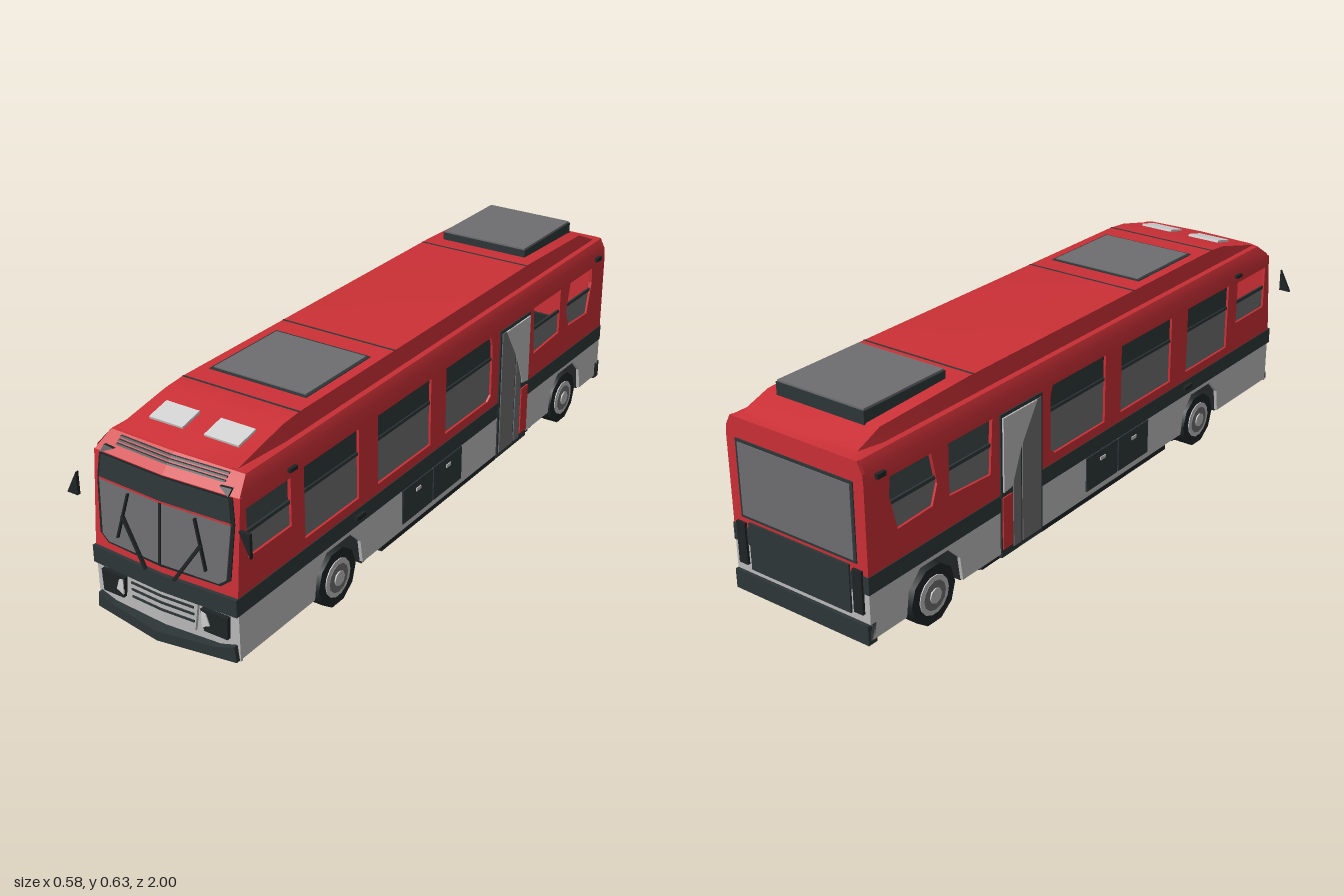
import * as THREE from 'three';
import { toCreasedNormals } from 'three/addons/utils/BufferGeometryUtils.js';

const material = (name, color) => new THREE.MeshStandardMaterial({ name, color, side: THREE.DoubleSide });

export function createModel() {
  const bus = new THREE.Group();
  bus.name = 'bus';
  const red = material('red paint', 0xcb3036);
  const silver = material('light grey paint', 0xbcbcbc);
  const dark = material('dark trim', 0x2e3638);
  const black = material('black rubber and chassis', 0x1f2424);
  const glass = material('grey glass', 0x6e6e70);
  const lens = material('lamp lens', 0xd2d2d2);

  const add = (name, geometry, mat) => {
    const mesh = new THREE.Mesh(geometry, mat);
    mesh.name = name;
    bus.add(mesh);
    return mesh;
  };
  // Box given by its minimum and maximum corners
  const box = (name, a, b, mat) => add(name, new THREE.BoxGeometry(b[0] - a[0], b[1] - a[1], b[2] - a[2])
    .translate((a[0] + b[0]) / 2, (a[1] + b[1]) / 2, (a[2] + b[2]) / 2), mat);
  const toShape = (pts, holes = []) => {
    const shape = new THREE.Shape(pts.map(p => new THREE.Vector2(...p)));
    holes.forEach(h => shape.holes.push(new THREE.Path(h.map(p => new THREE.Vector2(...p)))));
    return shape;
  };
  const extrude = (pts, depth, holes) =>
    new THREE.ExtrudeGeometry(toShape(pts, holes), { depth, bevelEnabled: false });
  const rect = (x0, x1, y0, y1) => [[x0, y0], [x1, y0], [x1, y1], [x0, y1]];

  // Plate on both flanks, outlined in (z, y), outer face at x = +-out
  const sidePlate = (name, pts, out, depth, mat, holes) => {
    for (const x of [out, depth - out])
      add(name, extrude(pts, depth, holes).rotateY(-Math.PI / 2).translate(x, 0, 0), mat);
  };

  // Front face: depth by height, with a shallow V towards the centre
  const nose = [[0.07, 0.95], [0.255, 0.95], [0.52, 0.925], [0.562, 0.875]];
  const frontZ = (x, y, vee = 0.012) => {
    let z = y <= nose[0][0] ? nose[0][1] : nose[3][1];
    for (let i = 0; i < 3; i++) {
      const [a, za] = nose[i], [b, zb] = nose[i + 1];
      if (y > a && y <= b) z = za + (zb - za) * (y - a) / (b - a);
    }
    return z + vee * (1 - Math.abs(x) / 0.23);
  };
  // Mirrored pair of plates that follow the nose, outlined in (x, y) for x >= 0
  const frontPlate = (name, pts, off, mat, depth = 0.008, vee = 0.012) => {
    for (const s of [1, -1]) {
      const g = extrude(pts.map(([x, y]) => [s * x, y]), depth);
      const p = g.attributes.position;
      for (let i = 0; i < p.count; i++)
        p.setZ(i, p.getZ(i) - depth + off + frontZ(p.getX(i), p.getY(i), vee));
      g.computeVertexNormals();
      add(name, g, mat);
    }
  };
  const frontBar = (name, [x0, y0], [x1, y1], w, mat) => {
    const l = Math.hypot(x1 - x0, y1 - y0), dx = -(y1 - y0) / l * w / 2, dy = (x1 - x0) / l * w / 2;
    frontPlate(name, [[x0 - dx, y0 - dy], [x1 - dx, y1 - dy], [x1 + dx, y1 + dy], [x0 + dx, y0 + dy]], 0.014, mat);
  };

  // Flanks: red upper wall with window openings, band, and skirt with wheel arches
  const windows = [
    rect(0.73, 0.905, 0.35, 0.485), rect(0.435, 0.675, 0.285, 0.49), rect(0.08, 0.345, 0.285, 0.49),
    [[-0.26, 0.3], [-0.24, 0.285], [0, 0.285], [0, 0.49], [-0.25, 0.49], [-0.26, 0.46]],
    [[-0.685, 0.345], [-0.52, 0.335], [-0.51, 0.49], [-0.685, 0.49]],
    [[-0.88, 0.34], [-0.75, 0.345], [-0.73, 0.4], [-0.75, 0.49], [-0.9, 0.49], [-0.905, 0.44]],
  ];
  sidePlate('upperSideWall', [[-0.99, 0.255], [0.95, 0.255], [0.927, 0.5], [-0.99, 0.5]], 0.228, 0.01, red, windows);
  sidePlate('sideBand', rect(-0.99, 0.95, 0.208, 0.257), 0.23, 0.012, dark);
  const arch = z => [[z - 0.11, 0.08], [z - 0.1, 0.15], [z - 0.055, 0.195], [z + 0.055, 0.195], [z + 0.1, 0.15], [z + 0.11, 0.08]];
  const axles = [-0.75, 0.53];
  sidePlate('skirt', [[-0.99, 0.08], ...arch(axles[0]), ...arch(axles[1]), [0.95, 0.08], [0.95, 0.21], [-0.99, 0.21]], 0.228, 0.01, silver);

  // Side glass: lower panes everywhere, tinted upper panes on the large windows
  windows.forEach((w, i) => {
    const zs = w.map(p => p[0]), y0 = Math.min(...w.map(p => p[1]));
    const z0 = Math.min(...zs), z1 = Math.max(...zs);
    sidePlate('sideWindowPane', rect(z0, z1, y0, 0.415), 0.221, 0.004, glass);
    if (i > 0 && i < 4) sidePlate('tintedUpperPane', rect(z0, z1, 0.42, 0.49), 0.221, 0.004, dark);
    sidePlate('windowRail', rect(z0, z1, 0.412, 0.422), 0.225, 0.006, dark);
  });

  // Doors on both flanks
  sidePlate('doorFrame', rect(-0.482, -0.302, 0.07, 0.49), 0.232, 0.01, dark);
  sidePlate('doorGlass', rect(-0.392, -0.31, 0.085, 0.48), 0.235, 0.006, glass);
  sidePlate('doorRearLeaf', rect(-0.432, -0.4, 0.085, 0.4), 0.235, 0.006, glass);
  sidePlate('doorUpperPanel', [[-0.475, 0.265], [-0.44, 0.27], [-0.4, 0.37], [-0.33, 0.48], [-0.475, 0.48]], 0.237, 0.006, silver);
  sidePlate('doorLowerPanel', rect(-0.478, -0.438, 0.095, 0.25), 0.236, 0.006, red);

  // Luggage lockers, sills and side markers
  for (const [a, b] of [[-0.09, 0.064], [0.07, 0.225]]) {
    sidePlate('luggageLocker', rect(a, b, 0.1, 0.206), 0.232, 0.008, dark);
    sidePlate('lockerHandle', rect((a + b) / 2 - 0.012, (a + b) / 2 + 0.012, 0.175, 0.185), 0.235, 0.004, silver);
  }
  sidePlate('sill', rect(-0.3, 0.33, 0.066, 0.08), 0.229, 0.02, black);
  sidePlate('sideMarker', rect(0.71, 0.74, 0.505, 0.515), 0.237, 0.02, black);
  sidePlate('sideMarker', rect(0.42, 0.46, 0.23, 0.242), 0.24, 0.02, black);
  sidePlate('rearMarker', rect(-0.95, -0.92, 0.505, 0.518), 0.237, 0.02, black);

  // Roof: one loft from front to back
  const stations = [[1, 0.565], [0.7, 0.605], [0.63, 0.611], [-0.55, 0.611], [-0.88, 0.6], [-0.96, 0.567], [-0.99, 0.563]];
  const section = h => {
    const half = [[0.228, 0.5], [0.226, 0.53], [0.21, 0.56], [0.196, 0.563], [0.185, h]];
    return [...half, [0, h], ...half.map(([x, y]) => [-x, y]).reverse()];
  };
  const pos = [], idx = [], n = 11;
  stations.forEach(([z, h], i) => section(h).forEach(([x, y], j) => {
    pos.push(x, y, Math.min(z, frontZ(x, y)));
    if (i < stations.length - 1 && j < n - 1) {
      const a = i * n + j;
      idx.push(a, a + n, a + 1, a + 1, a + n, a + n + 1);
    }
  }));
  const roof = new THREE.BufferGeometry();
  roof.setAttribute('position', new THREE.Float32BufferAttribute(pos, 3));
  roof.setIndex(idx);
  roof.computeVertexNormals();
  add('roof', toCreasedNormals(roof, 0.5), red);
  for (const z of [0.63, 0.2, -0.53]) box('roofSeam', [-0.185, 0.605, z - 0.003], [0.185, 0.612, z + 0.003], dark);
  box('frontHatchFrame', [-0.155, 0.6, 0.27], [0.155, 0.613, 0.56], dark);
  box('frontHatchGlass', [-0.147, 0.606, 0.28], [0.147, 0.616, 0.55], glass);
  box('rearRoofUnit', [-0.145, 0.58, -0.89], [0.145, 0.632, -0.59], dark);
  box('rearRoofUnitLid', [-0.142, 0.628, -0.887], [0.142, 0.637, -0.593], glass);
  for (const x of [-0.087, 0.087]) {
    const lamp = add('roofLamp', new THREE.BoxGeometry(0.107, 0.008, 0.07), lens);
    lamp.position.set(x, 0.59, 0.78);
    lamp.rotation.x = 0.23;
  }

  // Front face
  frontPlate('frontLowerPanel', rect(0, 0.228, 0.075, 0.21), 0, silver);
  frontPlate('frontBand', rect(0, 0.23, 0.208, 0.257), 0.01, dark, 0.018);
  frontPlate('frontFrame', rect(0, 0.228, 0.255, 0.52), 0, red);
  frontPlate('frontBrow', [[0, 0.52], [0.226, 0.52], [0.21, 0.56], [0, 0.562]], 0, red);
  frontPlate('windshieldSurround', [[0, 0.275], [0.18, 0.278], [0.208, 0.3], [0.216, 0.45], [0.208, 0.518], [0, 0.518]], 0.003, black, 0.006);
  frontPlate('windshield', [[0, 0.284], [0.175, 0.284], [0.197, 0.3], [0.207, 0.45], [0, 0.45]], 0.006, glass, 0.006);
  frontPlate('windshieldTint', [[0, 0.452], [0.207, 0.452], [0.2, 0.514], [0, 0.514]], 0.006, dark, 0.006);
  frontPlate('tintEdge', rect(0, 0.207, 0.449, 0.453), 0.008, red, 0.004);
  frontPlate('windshieldDivider', rect(0, 0.003, 0.284, 0.45), 0.01, black);
  frontBar('wiperArm', [0.045, 0.255], [0.125, 0.375], 0.008, black);
  frontBar('wiperBlade', [0.105, 0.44], [0.14, 0.31], 0.005, black);
  for (const y of [0.541, 0.548, 0.555]) frontPlate('browVent', rect(0, 0.17, y - 0.0015, y + 0.0015), 0.005, dark);
  frontPlate('cornerMarker', [[0.165, 0.535], [0.2, 0.522], [0.2, 0.536]], 0.012, black);
  frontPlate('grillePanel', [[0, 0.125], [0.1, 0.125], [0.113, 0.212], [0, 0.212]], 0.008, silver);
  for (const y of [0.154, 0.175, 0.195]) frontPlate('grilleSlot', rect(0, 0.1, y - 0.003, y + 0.003), 0.011, dark, 0.005);
  frontPlate('headlampHousing', [[0.13, 0.138], [0.2, 0.135], [0.203, 0.198], [0.122, 0.2]], 0.012, black, 0.02);
  frontPlate('headlamp', [[0.127, 0.15], [0.15, 0.16], [0.14, 0.19], [0.126, 0.195]], 0.015, lens, 0.006);
  frontPlate('frontBumper', [[0, 0.077], [0.225, 0.077], [0.22, 0.122], [0.17, 0.108], [0, 0.105]], 0.012, dark, 0.06, 0.036);

  // Outrigger mirrors
  const mirrors = [[[0.255, 0.465], [0.287, 0.465], [0.287, 0.398]], [[-0.29, 0.398], [-0.255, 0.398], [-0.255, 0.465]]];
  for (const pts of mirrors) add('mirror', extrude(pts, 0.01).translate(0, 0, 0.96), black);

  // Rear face
  add('rearUpperWall', extrude([[-0.228, 0.255], [0.228, 0.255], [0.228, 0.5], [0.226, 0.53], [0.21, 0.562], [-0.21, 0.562], [-0.226, 0.53], [-0.228, 0.5]], 0.01).translate(0, 0, -0.99), red);
  box('rearLowerWall', [-0.228, 0.08, -0.99], [0.228, 0.21, -0.98], silver);
  box('rearBand', [-0.23, 0.208, -0.992], [0.23, 0.257, -0.98], dark);
  box('rearWindowSurround', [-0.195, 0.285, -0.993], [0.195, 0.505, -0.985], dark);
  box('rearWindow', [-0.187, 0.293, -0.995], [0.187, 0.497, -0.988], glass);
  box('enginePanel', [-0.17, 0.14, -0.996], [0.17, 0.275, -0.986], dark);
  box('rearBumper', [-0.228, 0.07, -1], [0.228, 0.125, -0.97], dark);
  for (const s of [-1, 1]) box('tailLamp', [s * 0.197 - 0.015, 0.15, -0.998], [s * 0.197 + 0.015, 0.27, -0.988], black);

  // Floor and chassis
  box('floor', [-0.218, 0.235, -0.98], [0.218, 0.25, 0.94], black);
  box('chassisSpine', [-0.115, 0.07, -0.98], [0.115, 0.235, 0.94], black);
  for (const [a, b] of [[-0.985, -0.86], [-0.64, 0.42], [0.64, 0.945]])
    box('underbody', [-0.218, 0.075, a], [0.218, 0.23, b], black);
  for (const x of [-0.09, 0.09]) box('chassisRail', [x - 0.012, 0.058, -0.9], [x + 0.012, 0.075, 0.9], dark);
  for (let z = -0.55; z < 0.41; z += 0.19) box('crossMember', [-0.215, 0.064, z - 0.008], [0.215, 0.078, z + 0.008], dark);
  box('frontUnderTray', [-0.12, 0.052, 0.74], [0.12, 0.075, 0.86], black);
  box('doorStep', [-0.21, 0.054, -0.54], [0.21, 0.075, -0.34], black);

  // Wheels: paired tyres with rim and hub
  const disc = (name, r, x0, x1, z, mat, sides) => add(name, new THREE.CylinderGeometry(r, r, x1 - x0, sides)
    .rotateZ(Math.PI / 2).translate((x0 + x1) / 2, 0.088, z), mat);
  for (const z of axles) {
    disc('axle', 0.018, -0.2, 0.2, z, black, 8);
    for (const s of [-1, 1]) {
      const at = (name, r, a, b, mat, sides) => disc(name, r, Math.min(s * a, s * b), Math.max(s * a, s * b), z, mat, sides);
      at('innerTyre', 0.085, 0.122, 0.168, black, 10);
      at('outerTyre', 0.085, 0.174, 0.222, black, 10);
      at('rim', 0.056, 0.2, 0.225, silver, 14);
      at('rimRecess', 0.042, 0.2, 0.227, glass, 12);
      at('hub', 0.022, 0.2, 0.231, silver, 8);
    }
  }
  return bus;
}
